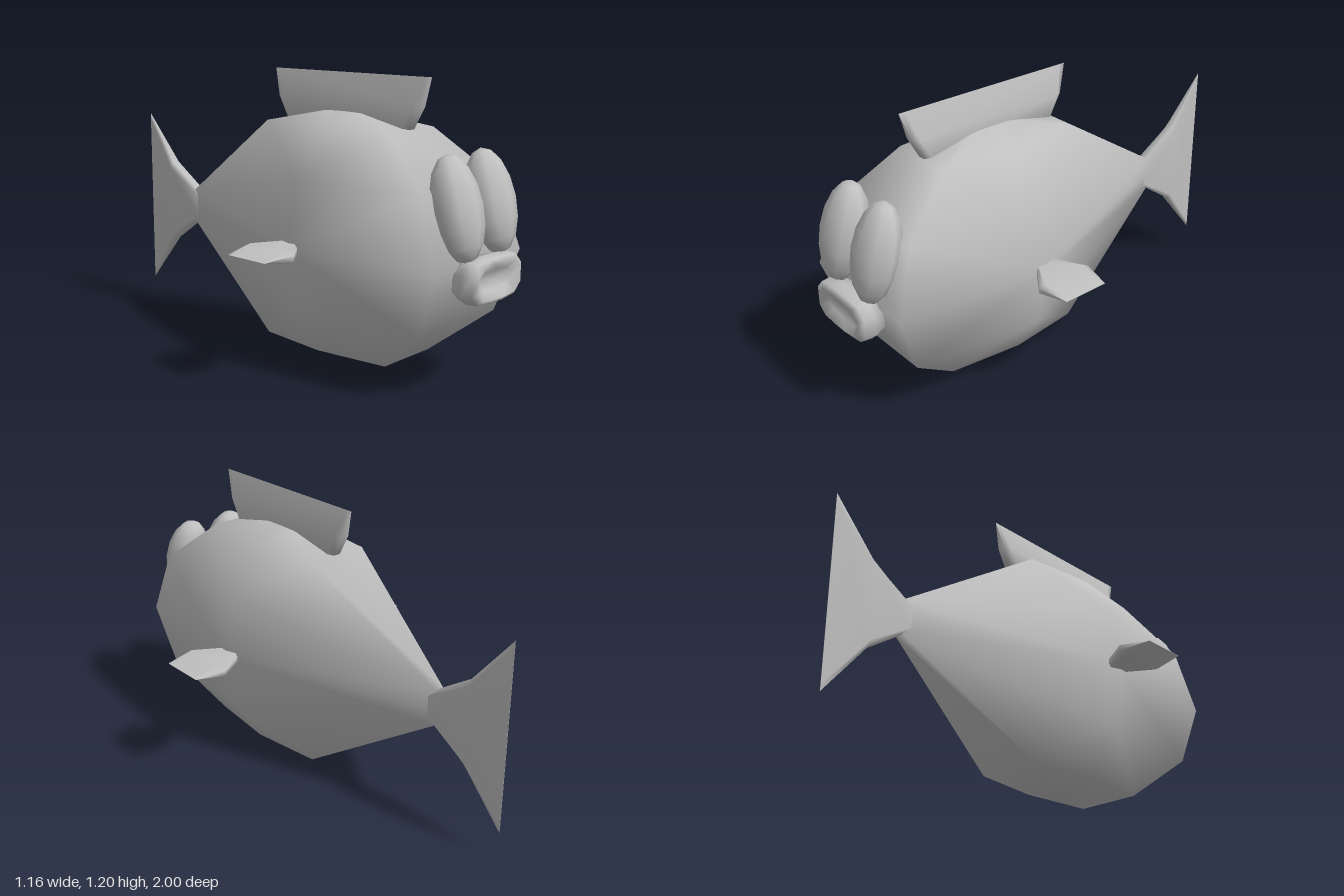
import * as THREE from 'three';

const grey = new THREE.MeshStandardMaterial({ color: 0xc0c0c0 });
grey.name = 'plain grey';

// Skin a stack of rings (each a list of [x, y, z]) and close both ends on a centre point.
function loft(name, rings, startTip, endTip) {
  const n = rings[0].length;
  const pts = rings.flat().map((p) => new THREE.Vector3(...p));
  const mean = (ring) => [0, 1, 2].map((k) => ring.reduce((s, p) => s + p[k], 0) / n);
  const last = rings.length - 1;
  const start = pts.push(new THREE.Vector3(...(startTip || mean(rings[0])))) - 1;
  const end = pts.push(new THREE.Vector3(...(endTip || mean(rings[last])))) - 1;
  const faces = [];
  for (let i = 0; i < n; i++) {
    const j = (i + 1) % n;
    faces.push([start, j, i], [end, last * n + i, last * n + j]);
    for (let r = 0; r < last; r++) {
      const a = r * n + i, b = r * n + j, c = b + n, d = a + n;
      // split each quad along its shorter diagonal
      if (pts[a].distanceTo(pts[c]) < pts[b].distanceTo(pts[d])) faces.push([a, b, c], [a, c, d]);
      else faces.push([a, b, d], [b, c, d]);
    }
  }
  // turn the faces outward
  const cross = new THREE.Vector3();
  const volume = faces.reduce((s, [a, b, c]) => s + pts[a].dot(cross.crossVectors(pts[b], pts[c])), 0);
  if (volume < 0) faces.forEach((f) => f.reverse());
  const geo = new THREE.BufferGeometry().setFromPoints(pts);
  geo.setIndex(faces.flat());
  geo.computeVertexNormals();
  const mesh = new THREE.Mesh(geo, grey);
  mesh.name = name;
  return mesh;
}

// Fin: sections of [distance, low, high, half thickness], placed by map(distance, along, thickness).
function fin(name, sections, map) {
  const rings = sections.map(([d, lo, hi, t]) => {
    const e = Math.min(0.025, (hi - lo) * 0.1);
    return [[lo, -t / 2], [lo + e, -t], [hi - e, -t], [hi, -t / 2],
      [hi, t / 2], [hi - e, t], [lo + e, t], [lo, t / 2]].map(([s, w]) => map(d, s, w));
  });
  return loft(name, rings);
}

export function createModel() {
  const fish = new THREE.Group();
  fish.name = 'fish';

  // Body: horizontal rings [y, front x, front z, middle x, back x, back z, back y]
  const levels = [
    [0.075, 0.142, 0.58, 0.178, 0.14, -0.06, 0.075],
    [0.27, 0.247, 0.82, 0.308, 0.02, -0.66, 0.46],
    [0.53, 0.285, 0.905, 0.355, 0.022, -0.66, 0.535],
    [0.80, 0.247, 0.82, 0.308, 0.02, -0.66, 0.61],
    [0.995, 0.142, 0.58, 0.178, 0.14, -0.06, 0.995],
    [1.045, 0.03, 0.35, 0.04, 0.03, 0.17, 1.045],
  ];
  const bodyRings = levels.map(([y, xf, zf, xm, xb, zb, yb]) => [
    [xf, y, zf], [xm, y, 0.26], [xb, yb, zb], [-xb, yb, zb], [-xm, y, 0.26], [-xf, y, zf],
  ]);
  fish.add(loft('body', bodyRings, [0, 0.003, 0.26], [0, 1.052, 0.26]));

  // Dorsal fin
  fish.add(fin('dorsalFin', [
    [0.995, -0.06, 0.58, 0.033],
    [1.085, -0.11, 0.63, 0.033],
    [1.2, -0.145, 0.67, 0.001],
  ], (d, s, w) => [w, d, s]));

  // Tail fin
  fish.add(fin('tailFin', [
    [-0.63, 0.48, 0.595, 0.033],
    [-0.82, 0.35, 0.72, 0.033],
    [-1, 0.125, 0.94, 0.001],
  ], (d, s, w) => [w, s, d]));

  for (const side of [1, -1]) {
    const label = side > 0 ? 'left' : 'right';
    // Side fins
    fish.add(fin(label + 'SideFin', [
      [0.31, 0.215, 0.275, 0.023],
      [0.45, 0.125, 0.38, 0.023],
      [0.578, 0.155, 0.355, 0.001],
    ], (d, s, w) => [side * d, 0.533 + w, s]));

    // Eyes: tall ovals leaning back
    const eye = new THREE.Mesh(new THREE.SphereGeometry(1, 8, 8), grey);
    eye.name = label + 'Eye';
    eye.scale.set(0.109, 0.204, 0.088);
    eye.position.set(side * 0.11, 0.742, 0.877);
    eye.rotation.x = -0.27;
    fish.add(eye);
  }

  // Lips: rounded block with a dented front
  const outline = [[1, 0.45], [0.75, 0.95], [0.25, 1], [-0.25, 1], [-0.75, 0.95], [-1, 0.45],
    [-1, -0.45], [-0.75, -0.9], [-0.25, -1], [0.25, -1], [0.75, -0.9], [1, -0.45]];
  const lipRings = [[0.89, 0.15, 0.075], [0.94, 0.17, 0.087], [0.985, 0.165, 0.083], [1, 0.138, 0.065], [0.975, 0.1, 0.035]]
    .map(([z, w, h]) => outline.map(([u, v]) => [u * w, 0.475 + v * h, z]));
  fish.add(loft('lips', lipRings, null, [0, 0.475, 0.965]));

  return fish;
}
